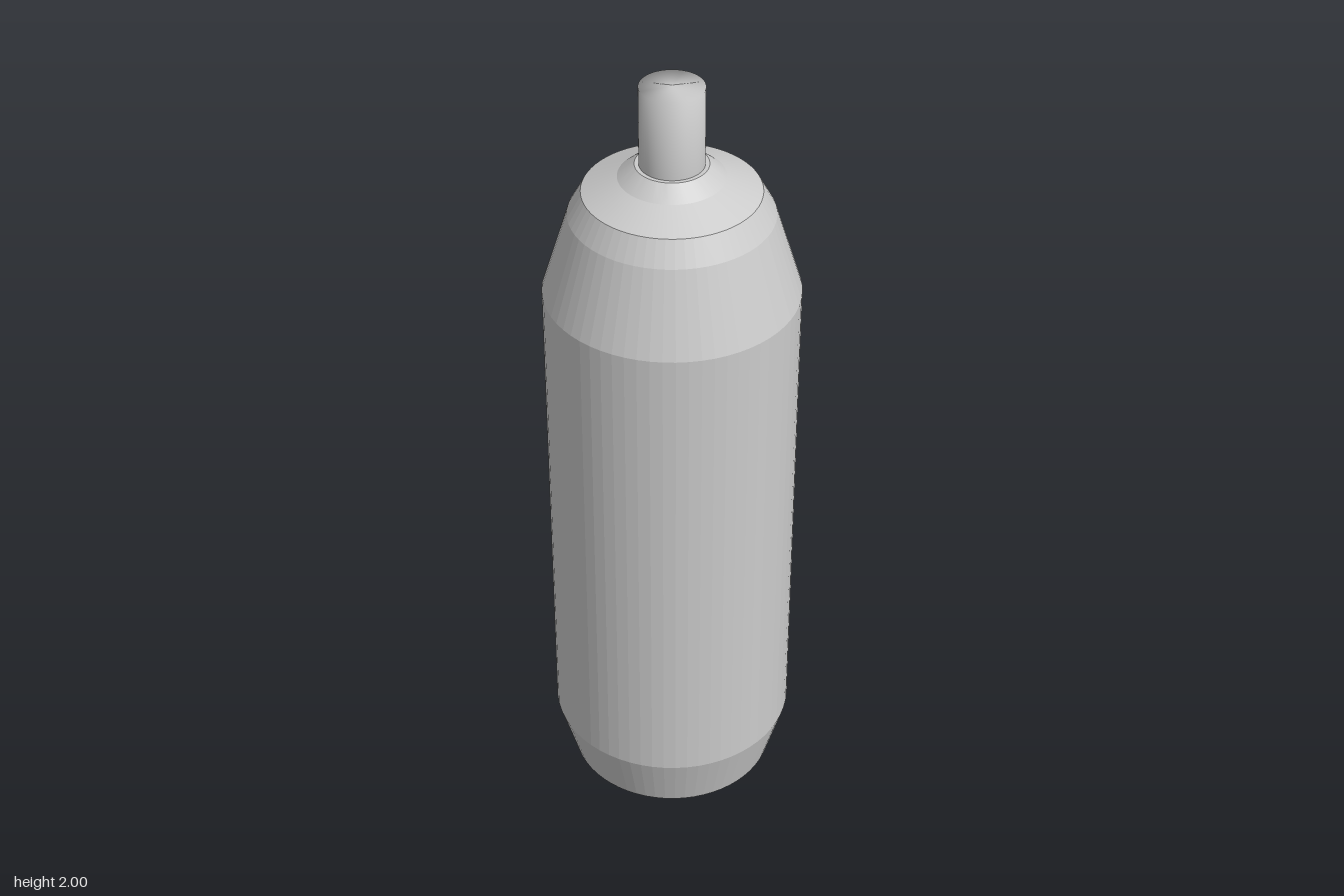
import * as THREE from 'three';
import { toCreasedNormals } from 'three/addons/utils/BufferGeometryUtils.js';

const SEGMENTS = 64;

// Turned surface from [radius, height] pairs, listed so the outside faces out
function lathe(profile) {
  return new THREE.LatheGeometry(profile.map(([r, y]) => new THREE.Vector2(r, y)), SEGMENTS);
}

function addPart(group, name, geometry, flatShading = false) {
  const material = new THREE.MeshStandardMaterial({ color: 0xcccccc, flatShading });
  const mesh = new THREE.Mesh(geometry, material);
  mesh.name = name;
  group.add(mesh);
}

export function createModel() {
  const group = new THREE.Group();
  group.name = 'canister';

  // Tapered foot with a shallow recess underneath, straight wall, two-step shoulder
  addPart(group, 'body', lathe([
    [0, 0.02], [0.2, 0.02], [0.2, 0], [0.265, 0],
    [0.31, 0.16], [0.31, 1.46], [0.245, 1.67], [0.212, 1.73],
  ]), true);

  // Sloping cap with a small flat collar around the nozzle
  addPart(group, 'cap', toCreasedNormals(lathe([
    [0.212, 1.73], [0.127, 1.767], [0.087, 1.8], [0.07, 1.8],
  ]), 0.2));

  // Nozzle with softly shaded flat top
  addPart(group, 'nozzle', lathe([[0.077, 1.79], [0.077, 2], [0, 2]]));

  return group;
}
